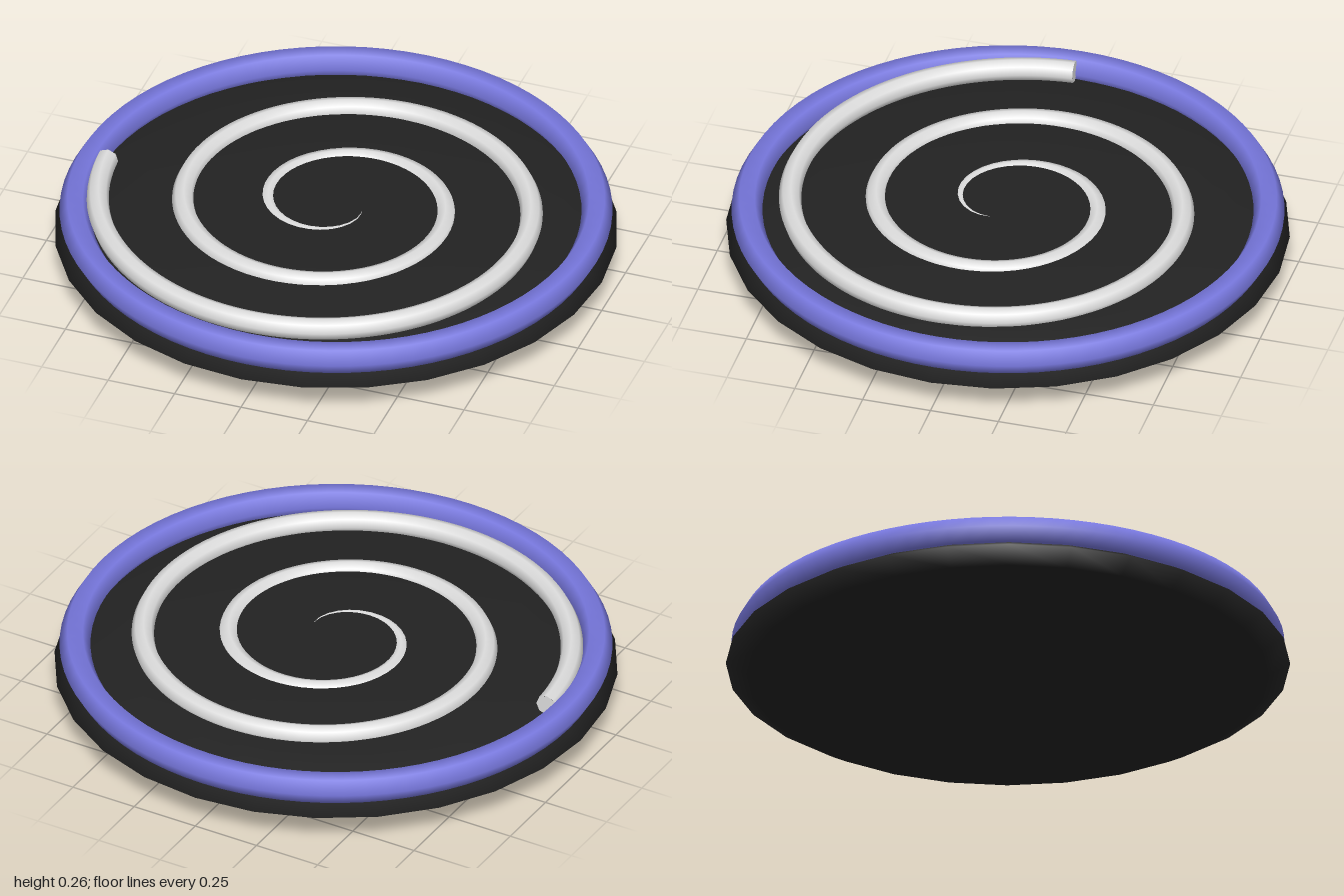
import * as THREE from 'three';

const bodyBlack = new THREE.MeshStandardMaterial({ color: 0x222222 });
bodyBlack.name = 'bodyBlack';
const rimViolet = new THREE.MeshStandardMaterial({ color: 0x7777dd });
rimViolet.name = 'rimViolet';
const spiralWhite = new THREE.MeshStandardMaterial({ color: 0xdddddd });
spiralWhite.name = 'spiralWhite';

// Flat spiral that widens and rises slightly over two and a half turns
class Spiral extends THREE.Curve {
  getPoint(t, target = new THREE.Vector3()) {
    const a = t * Math.PI * 5;
    const r = 0.1 + 0.76 * t;
    return target.set(r * Math.cos(a), 0.197 + 0.025 * t, r * Math.sin(a));
  }
}

export function createModel() {
  const model = new THREE.Group();
  const add = (name, geometry, material, parent = model) => {
    const mesh = new THREE.Mesh(geometry, material);
    mesh.name = name;
    parent.add(mesh);
    return mesh;
  };

  // Lens-shaped body: a squashed sphere
  const body = new THREE.SphereGeometry(1, 28, 8);
  body.scale(1, 0.12, 1);
  add('body', body, bodyBlack).position.y = 0.12;

  // Raised rim with a six-sided section
  const rim = new THREE.TorusGeometry(0.925, 0.055, 6, 80);
  rim.rotateX(Math.PI / 2);
  add('rim', rim, rimViolet).position.y = 0.202;

  // Spiral tube emerging from the dome, closed at its outer end
  const spiral = new THREE.Group();
  spiral.name = 'spiral';
  model.add(spiral);
  const path = new Spiral();
  const tubeRadius = 0.04;
  add('spiralTube', new THREE.TubeGeometry(path, 200, tubeRadius, 8, false), spiralWhite, spiral);
  const cap = add('spiralEnd', new THREE.CircleGeometry(tubeRadius, 8), spiralWhite, spiral);
  cap.position.copy(path.getPoint(1));
  cap.lookAt(path.getPoint(1).add(path.getTangent(1)));

  return model;
}
